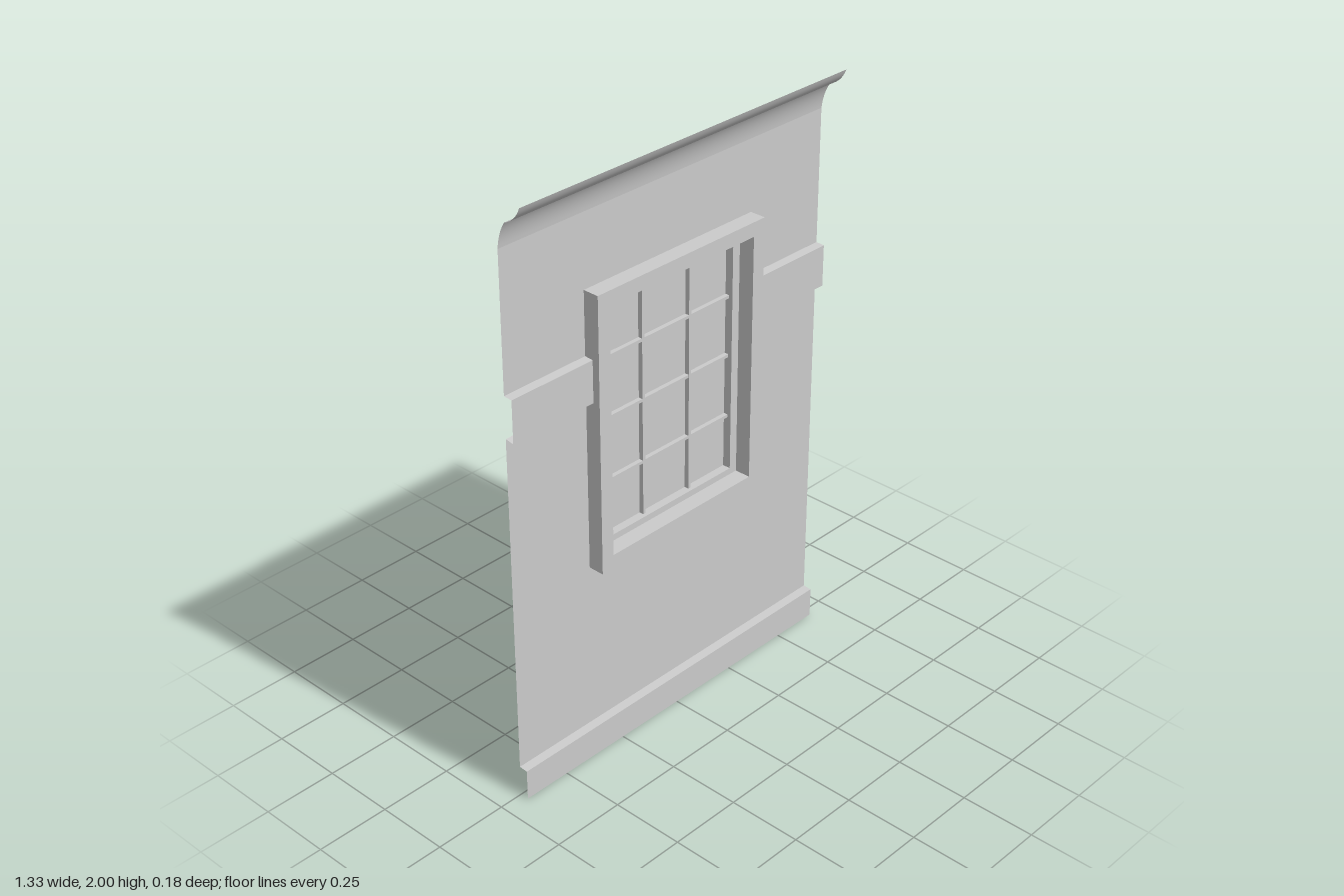
import * as THREE from 'three';
import { mergeGeometries } from 'three/addons/utils/BufferGeometryUtils.js';

const material = new THREE.MeshStandardMaterial({ color: 0xcccccc, side: THREE.DoubleSide });
const HALF = 0.667;    // half width of the wall
const OPEN = 0.352;    // half width of the window casing
const LOW = 0.683, HIGH = 1.615; // casing bottom and top

function toGeometry(positions, indices) {
  const g = new THREE.BufferGeometry();
  g.setAttribute('position', new THREE.Float32BufferAttribute(positions, 3));
  g.setIndex(indices);
  g.computeVertexNormals();
  return g;
}

// Sheet swept along x from one smooth run of [z, y] points
function sweep(run, x0, x1) {
  const pos = [], idx = [];
  run.forEach(([z, y], i) => {
    pos.push(x0, y, z, x1, y, z);
    if (i) {
      const a = 2 * (i - 1);
      idx.push(a, a + 1, a + 2, a + 1, a + 3, a + 2);
    }
  });
  return toGeometry(pos, idx);
}

// Straight profile: every segment keeps sharp edges
function sweepSharp(points, x0, x1) {
  return mergeGeometries(points.slice(1).map((p, i) => sweep([points[i], p], x0, x1)));
}

// Flat-sided shell through nested rectangles [halfWidth, bottom, top, z]
function loftRects(rects) {
  const pos = [], idx = [];
  const corners = ([w, b, t, z]) => [[-w, b, z], [w, b, z], [w, t, z], [-w, t, z]];
  for (let r = 1; r < rects.length; r++) {
    const A = corners(rects[r - 1]), B = corners(rects[r]);
    for (let i = 0; i < 4; i++) {
      const j = (i + 1) % 4, n = pos.length / 3;
      pos.push(...A[i], ...A[j], ...B[j], ...B[i]);
      idx.push(n, n + 1, n + 2, n, n + 2, n + 3);
    }
  }
  return toGeometry(pos, idx);
}

// Quadratic curve in the [z, y] plane
function curve(a, c, b) {
  const v = (p) => new THREE.Vector2(...p);
  return new THREE.QuadraticBezierCurve(v(a), v(c), v(b)).getPoints(10).map((p) => [p.x, p.y]);
}

export function createModel() {
  const group = new THREE.Group();
  const add = (name, geometry) => {
    const mesh = new THREE.Mesh(geometry, material);
    mesh.name = name;
    group.add(mesh);
    return mesh;
  };

  // Wall panels around the window, one open sheet thick
  add('lowerWall', sweep([[0, 0.105], [0, LOW]], -HALF, HALF));
  add('upperWall', sweep([[0, HIGH], [0, 1.853]], -HALF, HALF));
  for (const [side, x0, x1] of [['right', -HALF, -OPEN], ['left', OPEN, HALF]]) {
    add(side + 'Wall', mergeGeometries([
      sweep([[0, LOW], [0, 1.265]], x0, x1),
      sweep([[0, 1.405], [0, HIGH]], x0, x1),
    ]));
    // Chair rail stepping out of the wall
    add(side + 'Rail', sweepSharp([[0, 1.268], [0.03, 1.263], [0.03, 1.403], [0, 1.405]], x0, x1));
  }
  add('windowSurround', loftRects([[OPEN, LOW, HIGH, 0], [0.305, 0.73, 1.567, 0]]));

  // Skirting board
  add('skirting', sweepSharp([[0.03, 0], [0.03, 0.105], [0, 0.107]], -HALF, HALF));

  // Cornice: a cove below a flared upper moulding
  add('corniceCove', sweep(curve([0, 1.853], [0.006, 1.905], [0.03, 1.94]), -HALF, HALF));
  add('corniceTop', sweep(curve([0.03, 1.94], [0.072, 1.955], [0.09, 2]), -HALF, HALF));

  // Window casing, open at the back, stepping in to the sash
  add('windowCasing', loftRects([
    [OPEN, LOW, HIGH, -0.093],
    [OPEN, LOW, HIGH, 0.055],
    [0.305, 0.73, 1.567, 0.055],
    [0.305, 0.73, 1.567, 0],
  ]));
  add('sash', loftRects([
    [0.305, 0.73, 1.567, 0],
    [0.275, 0.752, 1.542, 0],
    [0.275, 0.752, 1.542, -0.03],
  ]));

  // Glass and glazing bars
  add('glass', new THREE.PlaneGeometry(0.55, 0.79)).position.set(0, 1.147, -0.028);
  for (const x of [-0.101, 0.101]) {
    add('verticalBar', new THREE.BoxGeometry(0.01, 0.79, 0.025)).position.set(x, 1.147, -0.025);
  }
  for (const y of [0.938, 1.152, 1.355]) {
    add('horizontalBar', new THREE.BoxGeometry(0.55, 0.01, 0.023)).position.set(0, y, -0.025);
  }

  return group;
}
